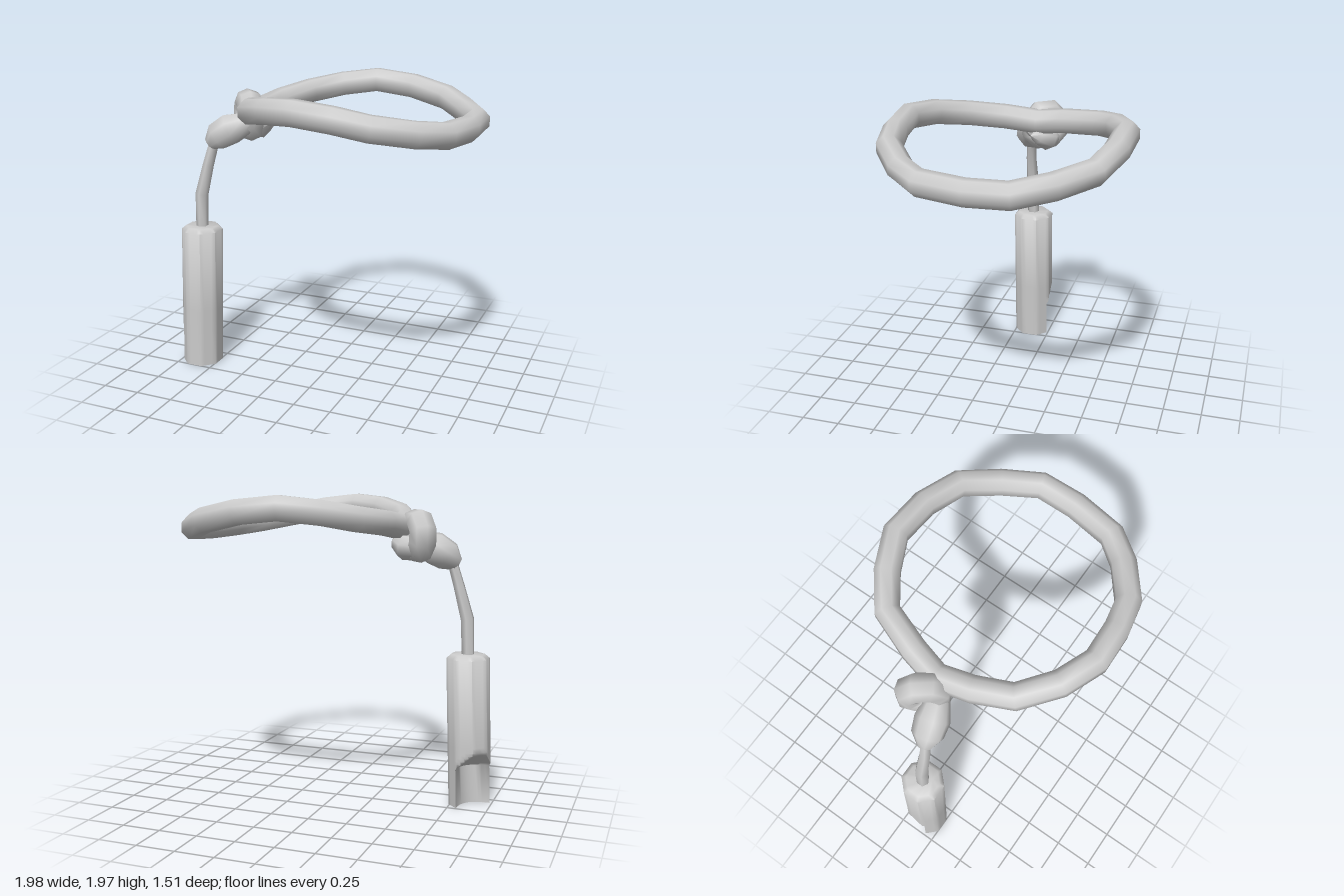
import * as THREE from 'three';
import { toCreasedNormals } from 'three/addons/utils/BufferGeometryUtils.js';

const grey = new THREE.MeshStandardMaterial({ color: 0xcccccc });

// Skin a list of equal-length point rows; each row is a closed cross-section.
function loft(rows, closed = false) {
  const n = rows[0].length, index = [];
  const count = closed ? rows.length : rows.length - 1;
  for (let i = 0; i < count; i++) {
    const r0 = i * n, r1 = ((i + 1) % rows.length) * n;
    for (let j = 0; j < n; j++) {
      const k = (j + 1) % n;
      index.push(r0 + j, r0 + k, r1 + j, r0 + k, r1 + k, r1 + j);
    }
  }
  const geometry = new THREE.BufferGeometry().setFromPoints(rows.flat());
  geometry.setIndex(index);
  geometry.computeVertexNormals();
  return geometry;
}

// Sweep a round section along [x, y, z, radius] stations.
function sweep(stations, sides, closed = false) {
  const pts = stations.map(s => new THREE.Vector3(s[0], s[1], s[2]));
  const last = pts.length - 1;
  let normal = null;
  const rows = pts.map((p, i) => {
    const prev = pts[i > 0 ? i - 1 : closed ? last : 0];
    const next = pts[i < last ? i + 1 : closed ? 0 : last];
    const t = next.clone().sub(prev).normalize();
    if (!normal) normal = Math.abs(t.y) < 0.8 ? new THREE.Vector3(0, 1, 0) : new THREE.Vector3(1, 0, 0);
    // Closed loops lie nearly flat, so they keep one up direction.
    if (closed) normal = new THREE.Vector3(0, 1, 0);
    normal = normal.clone().addScaledVector(t, -normal.dot(t)).normalize();
    const side = t.clone().cross(normal);
    return Array.from({ length: sides }, (_, j) => {
      const a = (j + 0.5) / sides * Math.PI * 2;
      return p.clone()
        .addScaledVector(normal, Math.cos(a) * stations[i][3])
        .addScaledVector(side, Math.sin(a) * stations[i][3]);
    });
  });
  return loft(rows, closed);
}

// Eight-sided grip with a concave scoop cut into its lower back corner.
function handleGeometry() {
  const samples = 32, s = Math.SQRT1_2;
  const section = (y, apothem, shrink = 1) => Array.from({ length: samples }, (_, j) => {
    const a = j / samples * Math.PI * 2 + Math.PI / 8;
    const fromFlat = ((a + Math.PI / 8) % (Math.PI / 4)) - Math.PI / 8;
    const r = apothem / Math.cos(fromFlat);
    const x = Math.cos(a) * r, z = -Math.sin(a) * r;
    // u points out through the scoop, v runs across it
    let u = -(x + z) * s, v = (x - z) * s;
    const groove = 0.04 - 0.07 * (1 - (v / 0.13) ** 2);
    u = Math.min(u, groove + Math.max(0, y - 0.25) * 1.4);
    u = -0.06 + (u + 0.06) * shrink;
    v *= shrink;
    return new THREE.Vector3(-0.87 + 0.036 * y + (v - u) * s, y, 0.125 - (u + v) * s);
  });
  const rows = [section(0, 0.127, 0.001)];
  for (const y of [0, 0.25, 0.27, 0.29, 0.31, 0.33, 0.35, 0.37, 0.4, 0.955]) rows.push(section(y, 0.127));
  rows.push(section(0.98, 0.1), section(0.98, 0.1, 0.001));
  return toCreasedNormals(loft(rows), 0.9);
}

export function createModel() {
  const model = new THREE.Group();
  const add = (name, geometry) => {
    const mesh = new THREE.Mesh(geometry, grey);
    mesh.name = name;
    model.add(mesh);
    return mesh;
  };

  add('handle', handleGeometry());

  // Thin cord rising out of the handle
  add('stemCord', sweep([
    [-0.835, 0.95, 0.125, 0.04], [-0.825, 1.2, 0.128, 0.043],
    [-0.77, 1.4, 0.125, 0.036], [-0.725, 1.56, 0.11, 0.032], [-0.68, 1.62, 0.1, 0.032],
  ], 6));

  // Swollen lower half of the knot
  add('knotBase', sweep([
    [-0.765, 1.535, 0.12, 0.001], [-0.755, 1.54, 0.12, 0.045], [-0.70, 1.59, 0.105, 0.095],
    [-0.62, 1.64, 0.085, 0.105], [-0.52, 1.68, 0.05, 0.075], [-0.42, 1.73, 0.01, 0.06],
  ], 8));

  // Turn of cord wrapped over the knot
  const wrap = add('knotWrap', new THREE.TorusGeometry(0.088, 0.08, 8, 8));
  wrap.position.set(-0.54, 1.72, -0.03);
  wrap.rotation.set(0, Math.atan2(0.79, -0.61), Math.PI / 8, 'YXZ');
  wrap.scale.set(1.03, 1.03, 1.1);

  // Tail of the knot tucked under the loop
  add('knotTail', sweep([
    [-0.56, 1.64, -0.07, 0.07], [-0.47, 1.65, -0.06, 0.08],
    [-0.41, 1.68, -0.01, 0.055], [-0.36, 1.69, 0.02, 0.001],
  ], 7));

  // Large bowed loop
  add('loop', sweep([
    [-0.435, 1.77, -0.01], [-0.39, 1.8, 0.2], [-0.3, 1.83, 0.42], [-0.11, 1.875, 0.585],
    [0.1, 1.895, 0.675], [0.33, 1.87, 0.665], [0.53, 1.83, 0.625], [0.74, 1.785, 0.47],
    [0.87, 1.76, 0.31], [0.92, 1.75, 0.03], [0.915, 1.755, -0.215], [0.78, 1.78, -0.42],
    [0.61, 1.82, -0.605], [0.36, 1.87, -0.675], [0.1, 1.895, -0.685], [-0.11, 1.87, -0.59],
    [-0.295, 1.83, -0.455], [-0.39, 1.8, -0.2],
  ].map(p => [...p, 0.08]), 8, true));

  return model;
}
